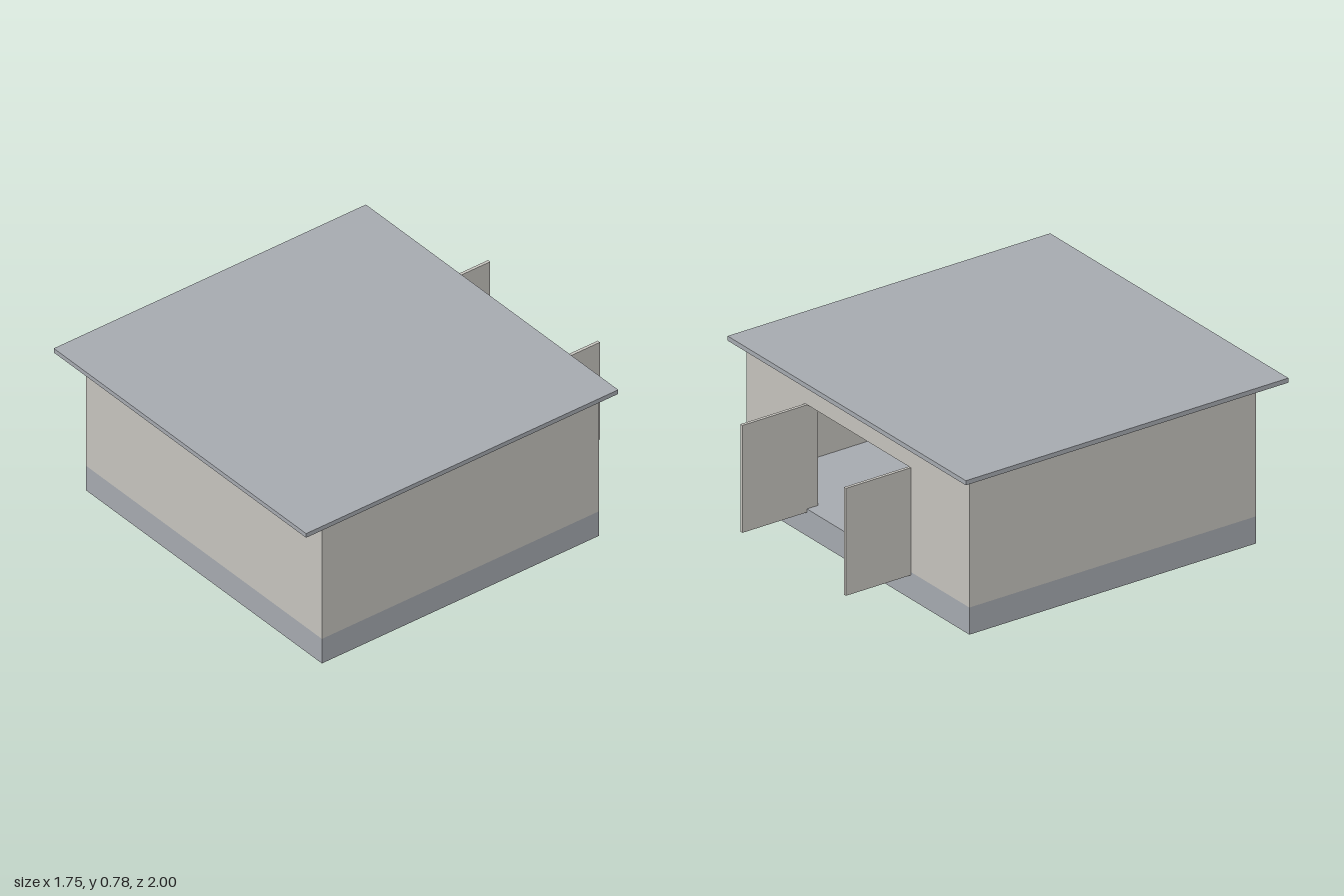
import * as THREE from 'three';

export function createModel() {
  const model = new THREE.Group();
  model.name = 'shed';

  const wallPaint = new THREE.MeshStandardMaterial({ color: 0xc8c6c0 });
  wallPaint.name = 'warm grey plaster';
  const slate = new THREE.MeshStandardMaterial({ color: 0xa8acb2 });
  slate.name = 'cool grey concrete';
  const iron = new THREE.MeshStandardMaterial({ color: 0x4a4a4a });
  iron.name = 'dark iron';

  // Box given by its lower and upper corners
  function block(name, material, [x0, y0, z0], [x1, y1, z1], parent = model) {
    const mesh = new THREE.Mesh(new THREE.BoxGeometry(x1 - x0, y1 - y0, z1 - z0), material);
    mesh.position.set((x0 + x1) / 2, (y0 + y1) / 2, (z0 + z1) / 2);
    mesh.name = name;
    parent.add(mesh);
  }

  const halfWidth = 0.818, back = -0.655, front = 0.868;
  const floorY = 0.13, wallTop = 0.745, lintelY = 0.63;
  const thick = 0.06, halfOpening = 0.375;

  // Solid plinth, whose top is the floor of the room
  block('plinth', slate, [-halfWidth, 0, back], [halfWidth, floorY, front]);

  // Thin flat roof floating just above the walls
  block('roof', slate, [-0.875, 0.756, -0.715], [0.875, 0.778, 1]);

  // Hollow walls with a wide opening at the back
  const walls = new THREE.Group();
  walls.name = 'walls';
  model.add(walls);
  block('frontWall', wallPaint, [-halfWidth, floorY, front - thick], [halfWidth, wallTop, front], walls);
  block('lintel', wallPaint, [-halfOpening, lintelY, back], [halfOpening, wallTop, back + thick], walls);
  for (const side of [-1, 1]) {
    const span = (a, b) => [Math.min(side * a, side * b), Math.max(side * a, side * b)];
    const label = side > 0 ? 'left' : 'right';

    const [s0, s1] = span(halfWidth - thick, halfWidth);
    block(label + 'Wall', wallPaint, [s0, floorY, back + thick], [s1, wallTop, front - thick], walls);

    const [p0, p1] = span(halfOpening, halfWidth);
    block(label + 'BackPier', wallPaint, [p0, floorY, back], [p1, wallTop, back + thick], walls);

    // Door leaf swung fully open
    const [d0, d1] = span(0.373, 0.388);
    block(label + 'Door', wallPaint, [d0, 0.115, -1], [d1, lintelY, back], model);
  }

  // Small latch hanging behind the lintel
  block('latch', iron, [0.093, 0.58, back + thick], [0.107, 0.65, back + thick + 0.014]);

  return model;
}
